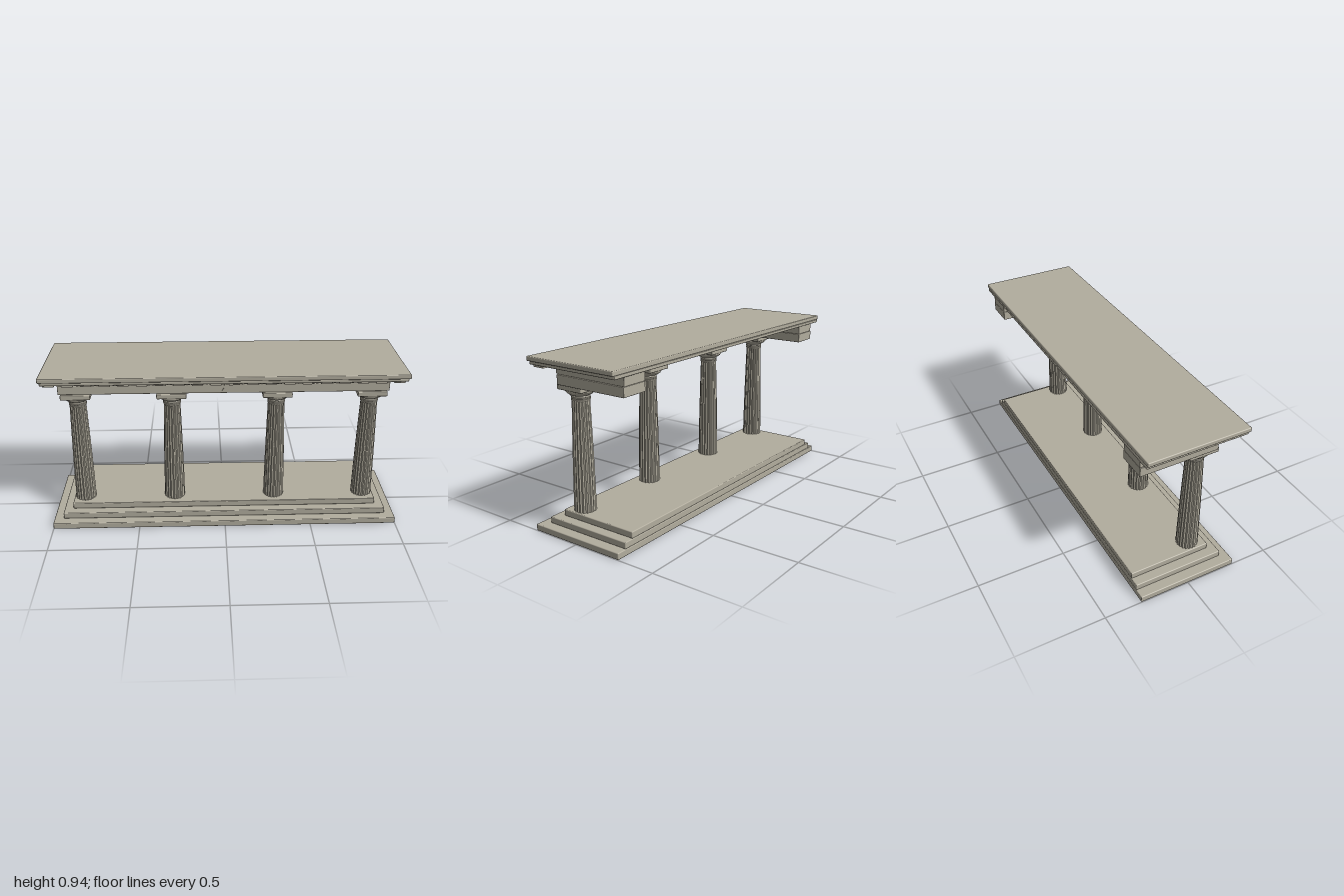
import * as THREE from 'three';
import { RoundedBoxGeometry } from 'three/addons/geometries/RoundedBoxGeometry.js';
import { toCreasedNormals } from 'three/addons/utils/BufferGeometryUtils.js';

const stone = new THREE.MeshStandardMaterial({ color: 0xb2ad9e });
stone.name = 'weathered stone';

const add = (parent, name, geometry) => {
  const mesh = new THREE.Mesh(geometry, stone);
  mesh.name = name;
  parent.add(mesh);
  return mesh;
};

// Block given by its limits on each axis; a bevel rounds its edges
function block(parent, name, [x0, x1], [y0, y1], [z0, z1], bevel = 0) {
  const size = [x1 - x0, y1 - y0, z1 - z0];
  const geometry = bevel
    ? new RoundedBoxGeometry(...size, 2, bevel)
    : new THREE.BoxGeometry(...size);
  const mesh = add(parent, name, geometry);
  mesh.position.set((x0 + x1) / 2, (y0 + y1) / 2, (z0 + z1) / 2);
  return mesh;
}

// Tapered shaft with scooped flutes meeting in sharp ridges
function flutedShaft(bottom, top, height, flutes) {
  const geometry = new THREE.CylinderGeometry(top, bottom, height, flutes * 4, 4);
  const p = geometry.attributes.position;
  for (let i = 0; i < p.count; i++) {
    const angle = Math.atan2(p.getX(i), p.getZ(i));
    const t = p.getY(i) / height + 0.5;
    const swell = 1 + 0.03 * Math.sin(Math.PI * t);
    const scale = swell * (1 - 0.09 * Math.abs(Math.sin(angle * flutes / 2)));
    p.setX(i, p.getX(i) * scale);
    p.setZ(i, p.getZ(i) * scale);
  }
  return toCreasedNormals(geometry, 0.5);
}

function column() {
  const group = new THREE.Group();
  group.name = 'column';
  add(group, 'flutedShaft', flutedShaft(0.06, 0.047, 0.605, 20)).position.y = 0.4125;
  // Neck rings and flared cushion turned as one profile
  const profile = [
    [0, 0.71], [0.048, 0.71], [0.05, 0.714], [0.05, 0.718], [0.047, 0.72],
    [0.05, 0.722], [0.05, 0.726], [0.047, 0.728], [0.05, 0.73], [0.05, 0.735],
    [0.048, 0.738], [0.06, 0.744], [0.071, 0.752], [0.078, 0.761], [0.079, 0.769], [0, 0.769],
  ].map(([r, y]) => new THREE.Vector2(r, y));
  add(group, 'capital', toCreasedNormals(new THREE.LatheGeometry(profile, 40), 0.5));
  block(group, 'abacus', [-0.083, 0.083], [0.768, 0.796], [-0.083, 0.083], 0.005);
  return group;
}

export function createModel() {
  const model = new THREE.Group();
  model.name = 'colonnade';

  // Three steps, flush at the back
  [[1, 0.287], [0.945, 0.235], [0.893, 0.185]].forEach(([x, z], i) =>
    block(model, 'step', [-x, x], [i * 0.0367, (i + 1) * 0.0367], [-0.287, z], 0.005));

  for (const x of [-0.825, -0.295, 0.295, 0.825]) {
    const c = column();
    c.position.set(x, 0, 0.095);
    model.add(c);
  }

  // Architrave and frieze: a front beam with a return at each end
  [['architrave', 0.92, 0.796, 0.849, 0.163], ['frieze', 0.916, 0.849, 0.899, 0.161]]
    .forEach(([name, x, y0, y1, z]) => {
      block(model, name, [-x, x], [y0, y1], [0.005, z], 0.003);
      for (const s of [-1, 1]) {
        const side = [s * x, s * 0.762].sort((a, b) => a - b);
        block(model, name + 'Return', side, [y0, y1], [-0.279, 0.02], 0.003);
      }
    });

  // Three-barred panels along the frieze
  for (let i = -9; i <= 9; i++) {
    const x = i * 0.0985;
    block(model, 'friezePanel', [x - 0.026, x + 0.026], [0.851, 0.881], [0.16, 0.167]);
    for (const d of [-0.018, 0, 0.018])
      block(model, 'friezeBar', [x + d - 0.006, x + d + 0.006], [0.851, 0.881], [0.165, 0.173]);
  }

  // Flat blocks under the front overhang
  for (let i = 0; i < 20; i++) {
    const x = (i - 9.5) * 0.0995;
    block(model, 'soffitBlock', [x - 0.03, x + 0.03], [0.884, 0.9], [0.195, 0.263]);
  }

  // Two-tier cornice slab
  block(model, 'lowerCornice', [-0.99, 0.99], [0.897, 0.915], [-0.287, 0.278], 0.004);
  block(model, 'upperCornice', [-1, 1], [0.915, 0.94], [-0.287, 0.287], 0.005);

  // Jagged crack at the middle of the beam
  const crack = new THREE.Shape([
    [-0.014, 0.812], [0.002, 0.828], [0.004, 0.84], [0.014, 0.85],
    [0.006, 0.85], [-0.004, 0.842], [-0.003, 0.83],
  ].map(([x, y]) => new THREE.Vector2(x, y)));
  add(model, 'crack', new THREE.ExtrudeGeometry(crack, { depth: 0.008, bevelEnabled: false }))
    .position.z = 0.161;

  return model;
}
